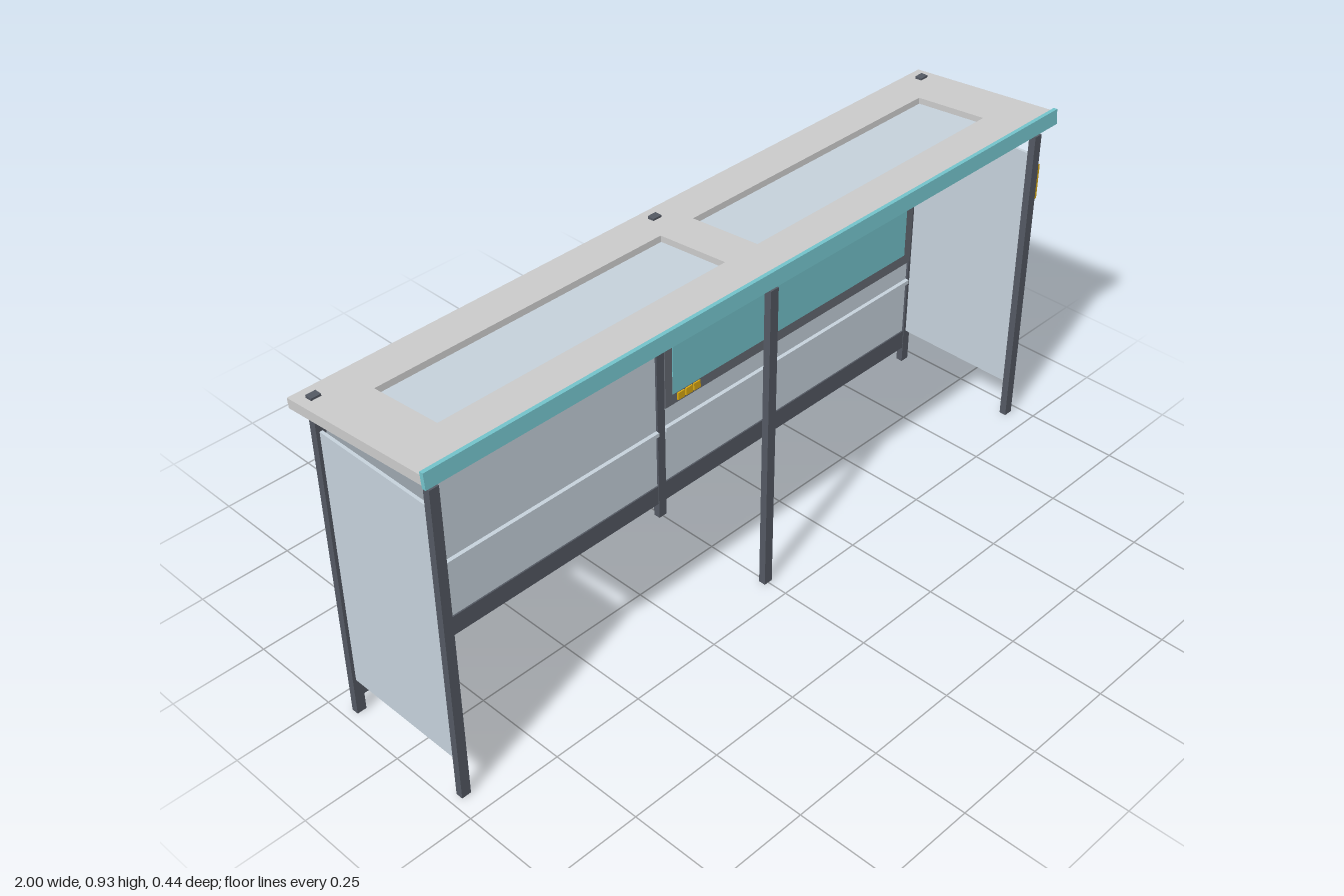
import * as THREE from 'three';

const mat = (color) => new THREE.MeshStandardMaterial({ color, flatShading: true });

export function createModel() {
  const shelter = new THREE.Group();
  shelter.name = 'shelter';
  const grey = mat(0xcccccc), steel = mat(0x545963), glass = mat(0xc6d2dc);
  const frameGrey = mat(0x666a73), teal = mat(0x74c4cc), yellow = mat(0xd9a912);

  // box given by its lower and upper corners
  const box = (name, material, [x0, y0, z0], [x1, y1, z1], parent = shelter) => {
    const mesh = new THREE.Mesh(new THREE.BoxGeometry(x1 - x0, y1 - y0, z1 - z0), material);
    mesh.position.set((x0 + x1) / 2, (y0 + y1) / 2, (z0 + z1) / 2);
    mesh.name = name;
    parent.add(mesh);
    return mesh;
  };

  // posts, the rear ones passing through the roof
  const postX = 0.963, half = 0.0125;
  for (const x of [-postX, 0, postX]) {
    box('frontPost', steel, [x - half, 0, 0.174], [x + half, 0.857, 0.193]);
    box('rearPost', steel, [x - half, 0, -0.192], [x + half, 0.888, -0.173]);
  }

  // end panels
  for (const s of [-1, 1]) {
    const x = s * postX;
    box('endPanel', glass, [x - 0.004, 0.1, -0.173], [x + 0.004, 0.8, 0.174]);
  }

  // two rear bays: glazing, kick plate and lean rail
  const inner = postX - half;
  for (const [x0, x1] of [[-inner, -half], [half, inner]]) {
    box('rearPanel', glass, [x0, 0.1, -0.186], [x1, 0.815, -0.179]);
    box('kickPlate', steel, [x0, 0.045, -0.19], [x1, 0.102, -0.175]);
    box('leanRail', glass, [x0, 0.263, -0.179], [x1, 0.275, -0.168]);
  }

  // display case in the bay on the model's left
  box('displayCase', frameGrey, [half, 0.335, -0.196], [inner, 0.634, -0.17]);
  box('displayScreen', teal, [0.037, 0.367, -0.171], [0.923, 0.607, -0.168]);
  for (let i = 0; i < 3; i++) {
    const x = 0.053 + i * 0.028;
    box('displayButton', yellow, [x, 0.342, -0.171], [x + 0.023, 0.363, -0.166]);
  }

  // yellow unit on the outside of the front corner post
  box('postUnit', yellow, [0.974, 0.667, 0.177], [0.988, 0.765, 0.189]);

  // sloping roof with two skylights
  const roof = new THREE.Group();
  roof.name = 'roof';
  roof.position.set(0, 0.885, -0.0085);
  roof.rotation.x = THREE.MathUtils.degToRad(-5.2);
  shelter.add(roof);

  const rect = (Type, x0, y0, x1, y1) => {
    const points = [[x0, y0], [x1, y0], [x1, y1], [x0, y1]];
    return new Type(points.map((p) => new THREE.Vector2(...p)));
  };
  const slab = rect(THREE.Shape, -1, -0.214, 1, 0.214);
  for (const [x0, x1] of [[-0.865, -0.052], [0.052, 0.865]]) {
    slab.holes.push(rect(THREE.Path, x0, -0.101, x1, 0.101));
    box('skylight', glass, [x0, -0.0115, -0.101], [x1, -0.0035, 0.101], roof);
  }
  const slabGeo = new THREE.ExtrudeGeometry(slab, { depth: 0.025, bevelEnabled: false });
  slabGeo.translate(0, 0, -0.0125).rotateX(-Math.PI / 2);
  const slabMesh = new THREE.Mesh(slabGeo, grey);
  slabMesh.name = 'roofSlab';
  roof.add(slabMesh);

  box('fascia', teal, [-1, -0.02, 0.214], [1, 0.02, 0.225], roof);
  box('lightStrip', yellow, [-0.85, -0.018, -0.156], [0.85, -0.0125, -0.138], roof);

  return shelter;
}
